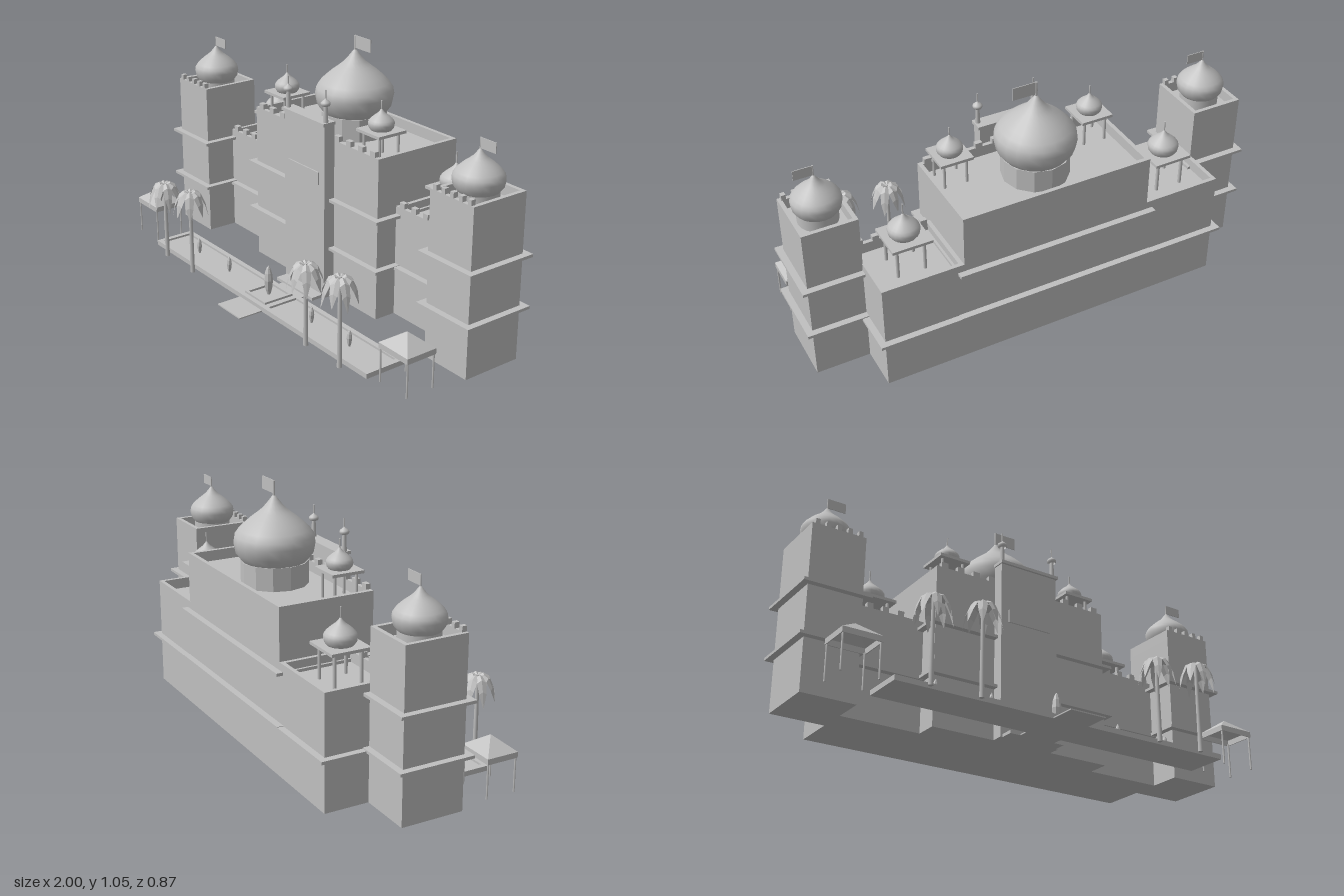
import * as THREE from 'three';

const stone = new THREE.MeshStandardMaterial({ color: 0xc0c0c0, side: THREE.DoubleSide });
stone.name = 'stone grey';
const faceted = stone.clone();
faceted.flatShading = true;

function add(parent, name, geo, x = 0, y = 0, z = 0, mat = stone) {
  const m = new THREE.Mesh(geo, mat);
  m.name = name;
  m.position.set(x, y, z);
  parent.add(m);
  return m;
}

// Box given by its ranges on each axis
function box(parent, name, x0, x1, y0, y1, z0, z1) {
  return add(parent, name, new THREE.BoxGeometry(x1 - x0, y1 - y0, z1 - z0),
    (x0 + x1) / 2, (y0 + y1) / 2, (z0 + z1) / 2);
}

// Four thin walls around a rectangle
function frame(parent, name, x0, x1, y0, y1, z0, z1, t) {
  box(parent, name, x0, x1, y0, y1, z1 - t, z1);
  box(parent, name, x0, x1, y0, y1, z0, z0 + t);
  box(parent, name, x0, x0 + t, y0, y1, z0 + t, z1 - t);
  box(parent, name, x1 - t, x1, y0, y1, z0 + t, z1 - t);
}

function pole(parent, name, r, x, y0, y1, z, sides = 8, rTop = r) {
  add(parent, name, new THREE.CylinderGeometry(rTop, r, y1 - y0, sides), x, (y0 + y1) / 2, z);
}

// Building block with sunken roof, front merlons and ledges
const SINK = 0.045;
function block(parent, name, x0, x1, h, z0, z1, merlons, ledges) {
  const g = new THREE.Group();
  g.name = name;
  parent.add(g);
  box(g, 'walls', x0, x1, 0, h - SINK, z0, z1);
  frame(g, 'parapet', x0, x1, h - SINK, h, z0, z1, 0.017);
  const pitch = (x1 - x0) / merlons;
  for (let i = 0; i < merlons; i++) {
    const c = x0 + pitch * (i + 0.5);
    box(g, 'merlon', c - pitch * 0.2, c + pitch * 0.2, h, h + 0.022, z1 - 0.02, z1);
  }
  const o = 0.027;
  for (const y of ledges) box(g, 'ledge', x0 - o, x1 + o, y - 0.006, y + 0.006, z0 - o, z1 + o);
  return g;
}

// Onion profile for a unit maximum radius
const onion = [[0.8, 0], [0.95, 0.2], [1, 0.46], [0.97, 0.63], [0.865, 0.78], [0.72, 0.92],
  [0.56, 1.06], [0.4, 1.18], [0.27, 1.29], [0.17, 1.41], [0.1, 1.5], [0.04, 1.58], [0, 1.6]]
  .map(p => new THREE.Vector2(p[0], p[1]));
function onionDome(parent, r, x, y, z, tip, flag = 0) {
  const d = add(parent, 'onionDome', new THREE.LatheGeometry(onion, 20), x, y, z);
  d.scale.setScalar(r);
  pole(parent, 'finial', Math.max(0.003, r * 0.03), x, y + r * 1.5, tip, z);
  if (flag) box(parent, 'flag', x, x + flag, tip - flag * 0.53, tip, z - 0.0015, z + 0.0015);
}

// Domed kiosk on four columns
function kiosk(parent, x, z, floor, top, half, r, tip) {
  const g = new THREE.Group();
  g.name = 'kiosk';
  parent.add(g);
  const c = half * 0.68;
  for (const i of [-1, 1]) for (const j of [-1, 1])
    pole(g, 'column', half * 0.09, x + i * c, floor, top - 0.01, z + j * c);
  box(g, 'roofSlab', x - half, x + half, top - 0.012, top, z - half, z + half);
  onionDome(g, r, x, top, z, tip);
}

// Drooping leaf with a raised midrib
function frondGeometry() {
  const rows = [[0, 0, 0.004], [0.022, 0.014, 0.013], [0.046, 0, 0.019], [0.064, -0.042, 0.015], [0.076, -0.105, 0.001]];
  const pos = [], idx = [];
  rows.forEach(([r, y, w], i) => {
    pos.push(r, y - w * 0.6, -w, r, y, 0, r, y - w * 0.6, w);
    if (!i) return;
    for (let k = 0; k < 2; k++) {
      const a = (i - 1) * 3 + k, b = a + 3;
      idx.push(a, a + 1, b, a + 1, b + 1, b);
    }
  });
  const g = new THREE.BufferGeometry();
  g.setAttribute('position', new THREE.Float32BufferAttribute(pos, 3));
  g.setIndex(idx);
  g.computeVertexNormals();
  return g;
}

function palm(parent, x, z, h, turn) {
  const g = new THREE.Group();
  g.name = 'palm';
  g.position.set(x, 0, z);
  parent.add(g);
  pole(g, 'trunk', 0.01, 0, 0, h - 0.005, 0, 8, 0.007);
  const leaf = frondGeometry();
  for (let i = 0; i < 8; i++) {
    const f = add(g, 'frond', leaf, 0, h - 0.012, 0, faceted);
    f.rotation.y = turn + i * Math.PI / 4;
    f.scale.y = i % 2 ? 1 : 0.85;
  }
}

// Small open shelter with a pyramid roof
function pavilion(parent, x, z) {
  const g = new THREE.Group();
  g.name = 'pavilion';
  parent.add(g);
  const a = 0.08, b = 0.068;
  for (const i of [-1, 1]) for (const j of [-1, 1])
    pole(g, 'post', 0.004, x + i * (a - 0.006), 0, 0.145, z + j * (b - 0.006), 6);
  frame(g, 'valance', x - a, x + a, 0.14, 0.163, z - b, z + b, 0.004);
  const cone = new THREE.ConeGeometry(Math.SQRT2, 0.055, 4, 1, true);
  cone.rotateY(Math.PI / 4);
  cone.scale(a, 1, b);
  add(g, 'pyramidRoof', cone, x, 0.1905, z, faceted);
}

function jet(parent, x, z, y, h, r) {
  const pts = [[0.35, 0], [0.75, 0.2], [1, 0.5], [0.8, 0.75], [0.4, 0.92], [0, 1]]
    .map(p => new THREE.Vector2(p[0] * r, p[1] * h));
  add(parent, 'fountainJet', new THREE.LatheGeometry(pts, 8), x, y, z, faceted);
}

export function createModel() {
  const root = new THREE.Group();
  root.name = 'palace';

  // Central hall with the great dome
  const hall = block(root, 'centralHall', -0.41, 0.41, 0.685, -0.405, 0, 11, [0.218, 0.432]);
  add(hall, 'drum', new THREE.CylinderGeometry(0.137, 0.137, 0.095, 12), 0, 0.6875, -0.21, faceted);
  onionDome(hall, 0.164, 0, 0.735, -0.21, 1.055, 0.1);

  // Entrance portal
  const portal = new THREE.Group();
  portal.name = 'portal';
  root.add(portal);
  box(portal, 'portalWall', -0.135, 0.135, 0, 0.753, 0, 0.05);
  box(portal, 'portalCap', -0.14, 0.14, 0.753, 0.766, 0, 0.06);
  box(portal, 'portalPanel', -0.1, 0.1, 0.495, 0.55, 0.05, 0.056);
  box(portal, 'step', -0.125, 0.125, 0, 0.013, 0.05, 0.105);

  for (const s of [-1, 1]) {
    // Portal minarets
    pole(portal, 'minaret', 0.011, s * 0.125, 0.766, 0.835, 0.037, 8, 0.008);
    onionDome(portal, 0.02, s * 0.125, 0.835, 0.037, 0.9);

    // Side wings
    const wx = [s * 0.41, s * 0.75].sort((a, b) => a - b);
    const wing = block(root, 'wing', wx[0], wx[1], 0.47, -0.405, -0.095, 5, [0.216]);
    kiosk(wing, s * 0.583, -0.245, 0.47 - SINK, 0.569, 0.083, 0.064, 0.713);
    kiosk(hall, s * 0.312, -0.093, 0.685 - SINK, 0.762, 0.07, 0.053, 0.88);

    // Corner towers
    const cx = s * 0.861;
    const tower = block(root, 'cornerTower', cx - 0.113, cx + 0.113, 0.685, -0.22, 0.04, 5, [0.22, 0.432]);
    pole(tower, 'domeBase', 0.08, cx, 0.685 - SINK, 0.687, -0.09, 20);
    onionDome(tower, 0.099, cx, 0.685, -0.09, 0.885, 0.078);

    // Garden at each side
    pavilion(root, s * 0.867, 0.235);
    palm(root, s * 0.41, 0.35, s < 0 ? 0.378 : 0.352, 0.2);
    palm(root, s * 0.62, 0.35, s < 0 ? 0.352 : 0.378, 0.5);
    const px = [s * 0.075, s * 0.75].sort((a, b) => a - b);
    box(root, 'poolWater', px[0], px[1], 0, 0.012, 0.145, 0.325);
    frame(root, 'poolRim', px[0], px[1], 0.012, 0.021, 0.145, 0.325, 0.022);
    jet(root, s * 0.295, 0.235, 0.012, 0.072, 0.011);
    jet(root, s * 0.535, 0.235, 0.012, 0.072, 0.011);
  }

  // Central path and fountain
  box(root, 'path', -0.08, 0.08, 0, 0.005, 0.1, 0.435);
  box(root, 'fountainBase', -0.075, 0.075, 0, 0.021, 0.145, 0.325);
  frame(root, 'fountainRim', -0.072, 0.072, 0.021, 0.03, 0.165, 0.305, 0.012);
  jet(root, 0, 0.235, 0.021, 0.13, 0.019);
  return root;
}
